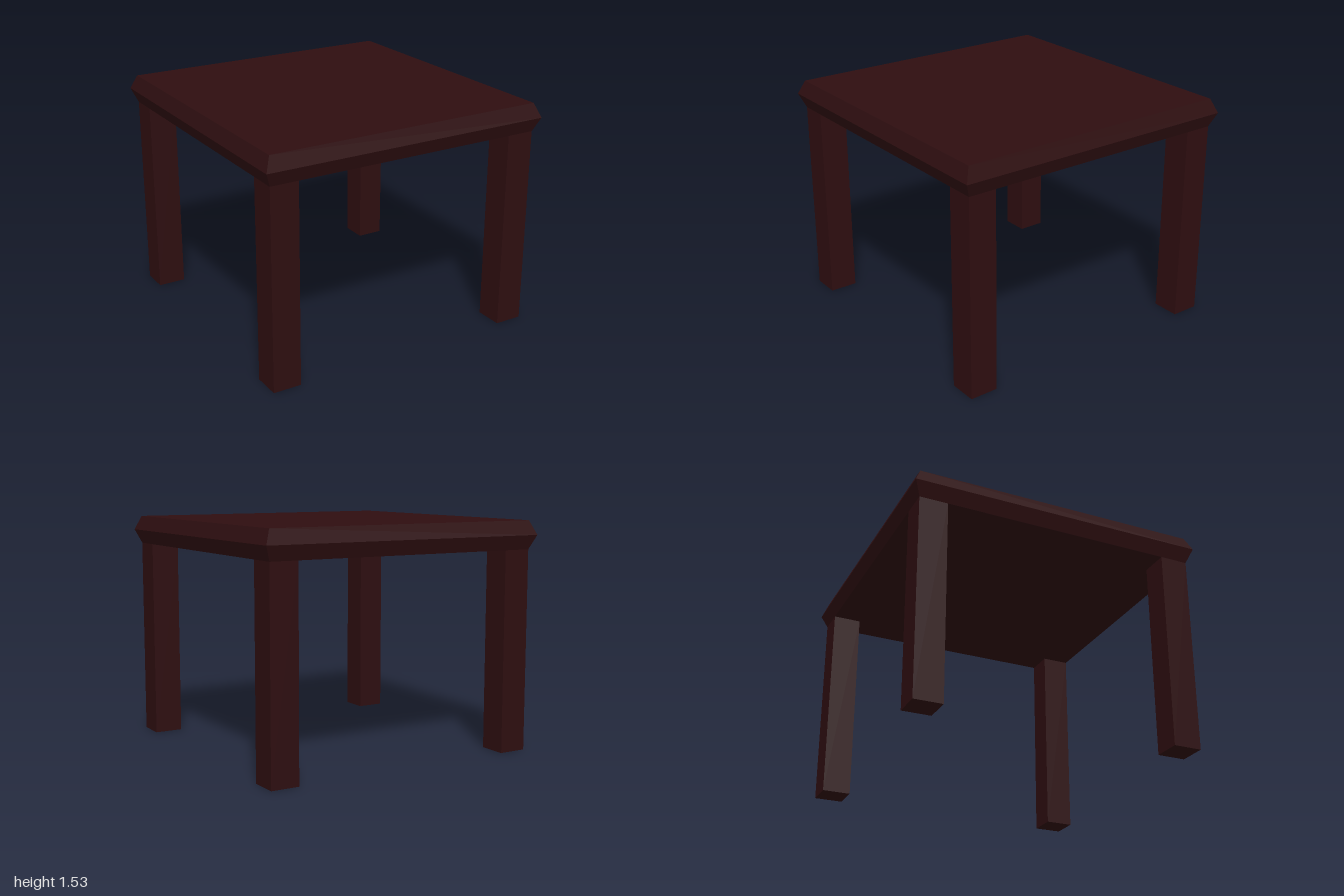
import * as THREE from 'three';

export function createModel() {
  const table = new THREE.Group();
  table.name = 'table';
  const wood = new THREE.MeshStandardMaterial({ color: 0x2e0e10 });
  wood.name = 'dark mahogany';

  const underside = 1.345, height = 1.535, inset = 0.96, legWidth = 0.19;

  // Square top with a pointed edge: a four-sided lathe, half-widths turned into corner radii
  const profile = [[0, underside], [inset, underside], [1, (underside + height) / 2], [inset, height], [0, height]]
    .map(([half, y]) => new THREE.Vector2(half * Math.SQRT2, y));
  const topGeometry = new THREE.LatheGeometry(profile, 4, Math.PI / 4).toNonIndexed();
  topGeometry.computeVertexNormals();
  const top = new THREE.Mesh(topGeometry, wood);
  top.name = 'tableTop';
  table.add(top);

  // Four square legs, flush with the lower edge of the top
  const legGeometry = new THREE.BoxGeometry(legWidth, underside, legWidth);
  const offset = inset - legWidth / 2;
  for (const [sx, side] of [[1, 'Left'], [-1, 'Right']]) {
    for (const [sz, end] of [[1, 'front'], [-1, 'back']]) {
      const leg = new THREE.Mesh(legGeometry, wood);
      leg.name = `${end}${side}Leg`;
      leg.position.set(sx * offset, underside / 2, sz * offset);
      table.add(leg);
    }
  }
  return table;
}
